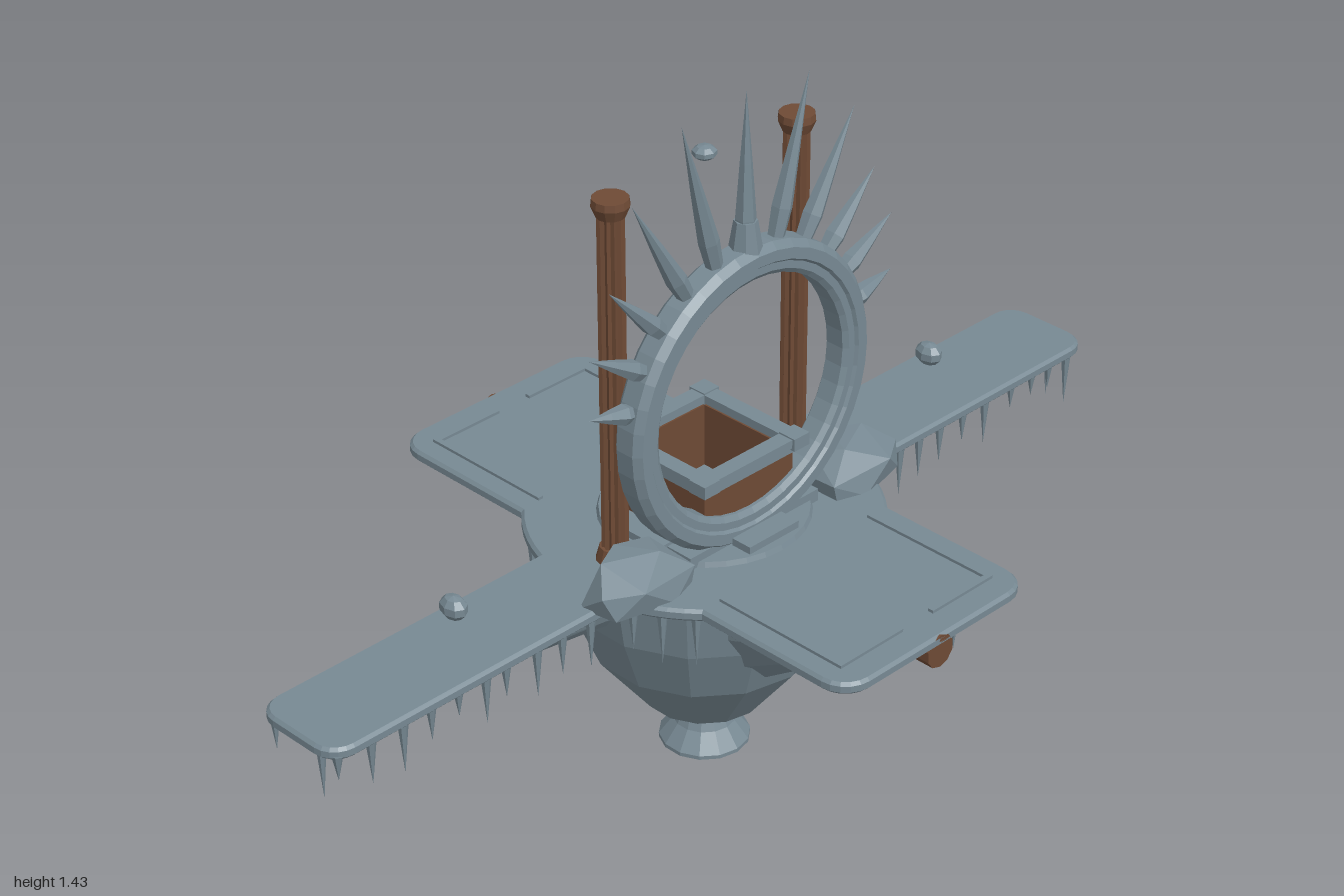
import * as THREE from 'three';
import { ConvexGeometry } from 'three/addons/geometries/ConvexGeometry.js';

const V2 = (x, y) => new THREE.Vector2(x, y);

export function createModel() {
  const model = new THREE.Group();
  const stone = new THREE.MeshStandardMaterial({ color: 0x778993 });
  stone.name = 'blue grey stone';
  const wood = new THREE.MeshStandardMaterial({ color: 0x6e4a35 });
  wood.name = 'brown wood';

  const flat = (g) => {
    const f = g.index ? g.toNonIndexed() : g;
    f.computeVertexNormals();
    return f;
  };
  const add = (name, geo, mat, x = 0, y = 0, z = 0, parent = model) => {
    const m = new THREE.Mesh(flat(geo), mat);
    m.name = name;
    m.position.set(x, y, z);
    parent.add(m);
    return m;
  };
  const box = (w, h, d) => new THREE.BoxGeometry(w, h, d);
  const cyl = (rt, rb, h, n = 12) => new THREE.CylinderGeometry(rt, rb, h, n);
  let seed = 7;
  const rand = () => (seed = (seed * 16807) % 2147483647) / 2147483647;

  // Cross-shaped deck with a round middle and rounded corners
  const arc = (cx, cy, r, a0, a1, n) => Array.from({ length: n + 1 }, (_, i) => {
    const a = a0 + (a1 - a0) * i / n;
    return V2(cx + r * Math.cos(a), cy + r * Math.sin(a));
  });
  const Q = Math.PI / 2, R = 0.345;
  const quarter = [
    ...arc(0.95, 0.055, 0.05, 0, Q, 5),
    ...arc(0, 0, R, Math.asin(0.105 / R), Math.acos(0.248 / R), 5),
    ...arc(0.188, 0.535, 0.06, 0, Q, 5),
  ];
  const flip = (pts, sx, sy) => pts.map((p) => V2(p.x * sx, p.y * sy));
  const outline = [
    ...quarter, ...flip(quarter, -1, 1).reverse(),
    ...flip(quarter, -1, -1), ...flip(quarter, 1, -1).reverse(),
  ];
  const deck = new THREE.ExtrudeGeometry(new THREE.Shape(outline), {
    depth: 0.013, bevelThickness: 0.006, bevelSize: 0.006, bevelOffset: -0.006, bevelSegments: 1,
  });
  deck.rotateX(-Q);
  add('deck', deck, stone, 0, 0.503, 0);
  add('dais', cyl(0.2, 0.205, 0.012, 32), stone, 0, 0.526, 0);

  // L-shaped kerbs on the front and back platforms
  for (const sx of [-1, 1]) for (const sz of [-1, 1]) {
    add('platformKerb', box(0.012, 0.006, 0.3), stone, sx * 0.197, 0.525, sz * 0.39);
    add('platformKerb', box(0.16, 0.006, 0.012), stone, sx * 0.12, 0.525, sz * 0.534);
  }

  // Faceted hull and flared hollow foot
  add('hull', new THREE.LatheGeometry([
    V2(0, 0.07), V2(0.06, 0.07), V2(0.123, 0.11), V2(0.232, 0.25), V2(0.28, 0.37), V2(0.305, 0.505),
  ], 14), stone);
  add('foot', new THREE.LatheGeometry([
    V2(0, 0.04), V2(0.04, 0.035), V2(0.06, 0), V2(0.09, 0), V2(0.09, 0.008), V2(0.062, 0.045), V2(0.05, 0.075),
  ], 14), stone);

  // Keels: half-ellipse sections [distance, half width, depth] hung below the deck
  const keel = (name, stations, angle) => {
    const n = 8, pos = [], idx = [];
    stations.forEach(([s, w, d], i) => {
      for (let j = 0; j <= n; j++) {
        const a = Math.PI * j / n;
        pos.push(w * Math.cos(a), 0.505 - d * Math.sin(a), s);
        if (i < stations.length - 1 && j < n) {
          const p = i * (n + 1) + j, q = p + n + 1;
          idx.push(p, q, p + 1, q, q + 1, p + 1);
        }
      }
    });
    const g = new THREE.BufferGeometry();
    g.setAttribute('position', new THREE.Float32BufferAttribute(pos, 3));
    g.setIndex(idx);
    add(name, g, stone).rotation.y = angle;
  };
  const prow = [[0.12, 0.19, 0.31], [0.225, 0.18, 0.245], [0.46, 0.14, 0.075], [0.535, 0.12, 0.004]];
  const wing = [[0.2, 0.06, 0.13], [0.3, 0.056, 0.11], [0.6, 0.05, 0.065], [0.92, 0.04, 0.012], [0.95, 0.03, 0.002]];
  keel('frontKeel', prow, 0);
  keel('backKeel', prow, Math.PI);
  keel('leftWingKeel', wing, Q);
  keel('rightWingKeel', wing, -Q);

  // Drain pipes under both platform ends
  for (const s of [-1, 1]) {
    const spout = new THREE.Group();
    spout.name = 'drainSpout';
    spout.rotation.y = s > 0 ? 0 : Math.PI;
    model.add(spout);
    add('spoutPipe', cyl(0.024, 0.024, 0.12, 10), wood, 0, 0.484, 0.5, spout).rotation.x = Q;
    add('spoutCollar', cyl(0.034, 0.034, 0.06, 10), wood, 0, 0.487, 0.565, spout).rotation.x = Q;
    add('spoutElbow', cyl(0.03, 0.03, 0.042, 10), wood, 0, 0.462, 0.477, spout).rotation.x = Q;
  }

  // Icicles along the wings, the round middle and the platform ends
  const icicle = (x, z, len, r = 0.011) => {
    const g = new THREE.ConeGeometry(r, len, 6);
    g.rotateX(Math.PI);
    add('icicle', g, stone, x, 0.505 - len / 2, z);
  };
  for (const sx of [-1, 1]) {
    for (const sz of [-1, 1]) {
      for (let x = 0.38; x < 0.97; x += 0.065) {
        icicle(sx * (x + (rand() - 0.5) * 0.03), sz * 0.088, 0.05 + rand() * 0.07);
      }
      for (const a of [0.38, 0.55, 0.74]) {
        icicle(sx * 0.33 * Math.cos(a), sz * 0.33 * Math.sin(a), 0.08 + rand() * 0.06);
      }
    }
    icicle(sx * 0.965, 0.03, 0.13);
  }
  icicle(0.1, 0.54, 0.09);
  icicle(-0.1, -0.44, 0.14);

  // Upright ring with a stepped rim
  const halo = new THREE.Group();
  halo.name = 'halo';
  halo.position.set(0, 0.82, 0.103);
  model.add(halo);
  const rim = new THREE.LatheGeometry([
    V2(0.24, -0.02), V2(0.25, -0.028), V2(0.265, -0.028), V2(0.27, -0.034), V2(0.292, -0.034), V2(0.305, -0.02),
    V2(0.305, 0.02), V2(0.292, 0.034), V2(0.27, 0.034), V2(0.265, 0.028), V2(0.25, 0.028), V2(0.24, 0.02), V2(0.24, -0.02),
  ], 40);
  rim.rotateX(Q);
  add('haloRing', rim, stone, 0, 0, 0, halo);

  // Spikes fanning from the ring, longest at the top
  const tips = [0.61, 0.615, 0.557, 0.477, 0.448, 0.404];
  for (let k = -5; k <= 5; k++) {
    const a = k * Math.PI / 12, tip = tips[Math.abs(k)], base = 0.295, len = tip - base;
    const spike = new THREE.LatheGeometry([
      V2(0, 0), V2(0.016, 0), V2(0.02, len * 0.2), V2(0.012, len * 0.55), V2(0, len),
    ], 6);
    const m = add('haloSpike', spike, stone, base * Math.sin(a), base * Math.cos(a), 0, halo);
    m.rotation.z = -a;
  }
  add('haloCrest', cyl(0.022, 0.032, 0.06, 8), stone, 0, 0.325, 0, halo);

  // Boulders beside the ring
  for (const s of [-1, 1]) {
    const pts = [
      [-0.105, 0, -0.03], [-0.09, 0, 0.05], [0.03, 0, 0.08], [0.09, 0, 0.06], [0.09, 0, -0.06], [-0.02, 0, -0.08],
      [-0.105, 0.045, 0.03], [-0.06, 0.08, -0.02], [-0.04, 0.05, 0.075], [0.04, 0.085, 0.03], [0.07, 0.075, -0.03],
      [0.1, 0.04, 0.06], [0.1, 0.035, -0.05], [0, 0.08, -0.05],
    ].map(([x, y, z]) => new THREE.Vector3(-x * s, y, z));
    add('boulder', new ConvexGeometry(pts), stone, s * 0.285, 0.515, 0.1);
  }

  // Fluted columns
  for (const s of [-1, 1]) {
    const col = new THREE.Group();
    col.name = 'column';
    col.position.set(s * 0.235, 0, 0.003);
    model.add(col);
    const flutes = Array.from({ length: 24 }, (_, i) => {
      const a = i * Math.PI / 12, r = i % 2 ? 0.021 : 0.026;
      return V2(r * Math.cos(a), r * Math.sin(a));
    });
    const shaft = new THREE.ExtrudeGeometry(new THREE.Shape(flutes), { depth: 0.72, bevelEnabled: false });
    shaft.rotateX(-Q);
    add('columnShaft', shaft, wood, 0, 0.53, 0, col);
    add('columnBase', cyl(0.03, 0.038, 0.03), wood, 0, 0.535, 0, col);
    add('columnCapital', cyl(0.036, 0.027, 0.022), wood, 0, 1.245, 0, col);
    add('columnTop', cyl(0.034, 0.036, 0.014), wood, 0, 1.263, 0, col);
  }

  // Open wooden chest with a stone rim, and a stepped dish inside
  for (let i = 0; i < 4; i++) {
    const side = new THREE.Group();
    side.name = 'basinSide';
    side.rotation.y = i * Q;
    model.add(side);
    add('basinWall', box(0.232, 0.14, 0.018), wood, 0, 0.595, 0.107, side);
    add('basinRim', box(0.264, 0.018, 0.034), stone, 0, 0.677, 0.115, side);
    add('basinTrim', box(0.246, 0.01, 0.022), stone, 0, 0.656, 0.112, side);
    add('basinRimCorner', box(0.04, 0.026, 0.04), stone, 0.118, 0.676, 0.118, side);
    // Step slabs around the chest
    add('stepSlab', box(0.13, 0.018, 0.045), stone, 0, 0.538, 0.16, side);
  }
  add('dishOuter', cyl(0.09, 0.095, 0.02, 24), stone, 0, 0.542, 0);
  add('dishMiddle', cyl(0.055, 0.06, 0.02, 24), stone, 0, 0.56, 0);
  add('dishKnob', cyl(0.025, 0.03, 0.02), stone, 0, 0.578, 0);
  add('haloPlinth', box(0.34, 0.03, 0.06), stone, 0, 0.533, 0.103);

  // Crystal shards behind the chest
  for (const [x, z, h, tilt] of [[0, -0.14, 0.09, -0.35], [0.03, -0.16, 0.06, -0.5], [-0.03, -0.15, 0.07, -0.4]]) {
    add('crystalShard', new THREE.ConeGeometry(0.012, h, 5), stone, x, 0.54 + h / 2, z).rotation.x = tilt;
  }

  // Floating stones over the wings and between the column tops
  const pebble = (name, x, y, rx, ry, rz) => {
    const g = new THREE.SphereGeometry(1, 8, 5);
    g.scale(rx, ry, rz);
    add(name, g, stone, x, y, 0);
  };
  pebble('leftFloatingStone', 0.628, 0.6, 0.023, 0.024, 0.031);
  pebble('rightFloatingStone', -0.628, 0.6, 0.023, 0.024, 0.031);
  pebble('topFloatingStone', 0, 1.272, 0.024, 0.014, 0.024);

  return model;
}
